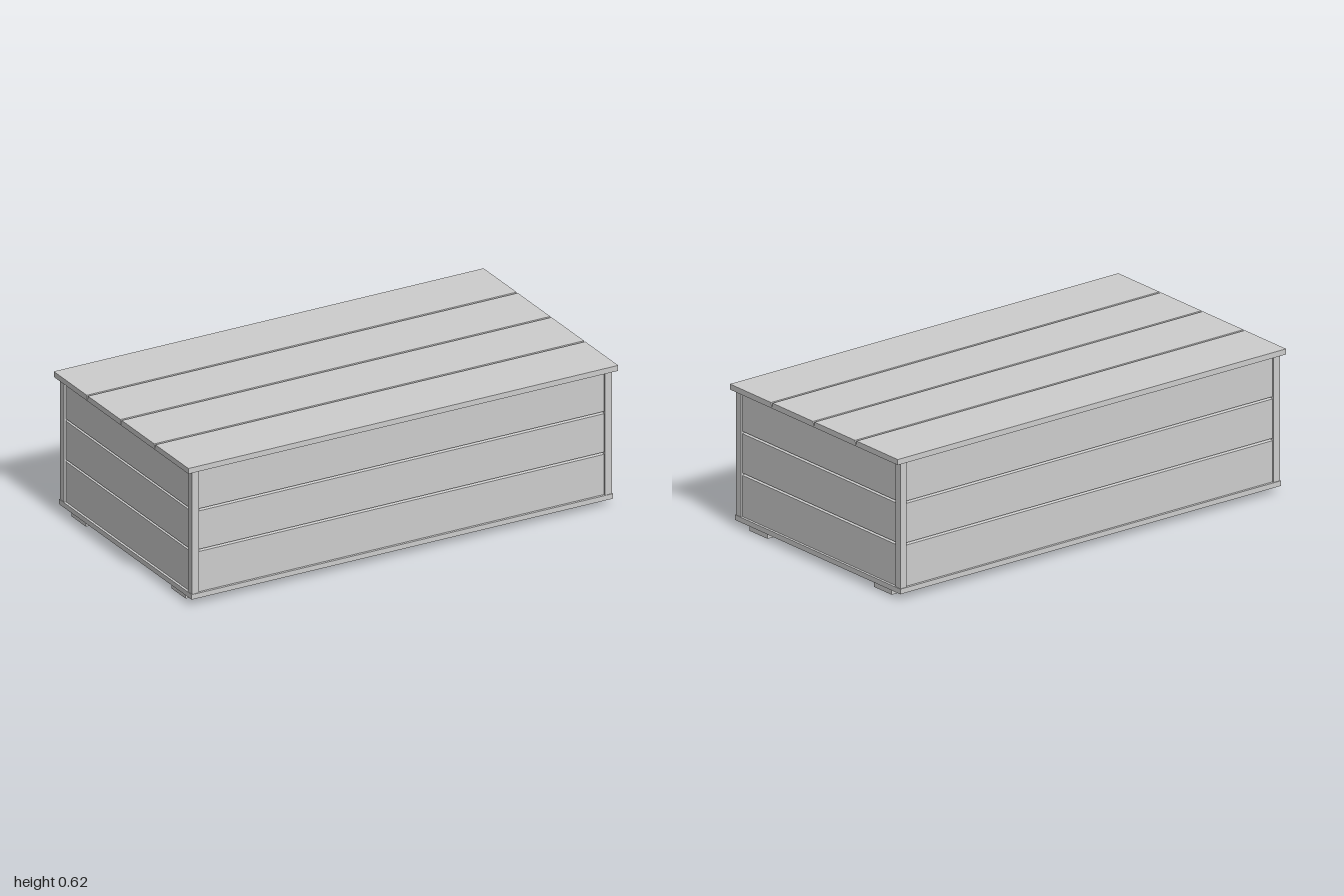
import * as THREE from 'three';

// Board lying flat: length along x, width along z, V-grooves cut into its top
function groovedBoard(length, width, thickness, grooves, halfGap, depth) {
  const s = new THREE.Shape();
  s.moveTo(-width / 2, 0);
  s.lineTo(width / 2, 0);
  s.lineTo(width / 2, thickness);
  for (const g of [...grooves].sort((a, b) => b - a)) {
    s.lineTo(g + halfGap, thickness);
    s.lineTo(g + halfGap * 0.3, thickness - depth);
    s.lineTo(g - halfGap * 0.3, thickness - depth);
    s.lineTo(g - halfGap, thickness);
  }
  s.lineTo(-width / 2, thickness);
  s.closePath();
  const geo = new THREE.ExtrudeGeometry(s, { depth: length, bevelEnabled: false });
  geo.translate(0, 0, -length / 2);
  geo.rotateY(-Math.PI / 2);
  return geo;
}

export function createModel() {
  const group = new THREE.Group();
  const grey = new THREE.MeshStandardMaterial({ color: 0xcccccc });
  grey.name = 'lightGrey';

  const add = (name, geo, x = 0, y = 0, z = 0, ry = 0) => {
    const m = new THREE.Mesh(geo, grey);
    m.name = name;
    m.position.set(x, y, z);
    m.rotation.y = ry;
    group.add(m);
    return m;
  };
  const box = (name, w, h, d, x, y, z) => add(name, new THREE.BoxGeometry(w, h, d), x, y, z);

  const X = 0.977, Z = 0.532;           // outer half sizes of the body
  const bottom = 0.028, lidBase = 0.593;
  const post = 0.032, recess = 0.008, thick = 0.03;

  // Lid of four planks
  add('lid', groovedBoard(2, 1.086, 0.024, [-0.272, 0, 0.272], 0.005, 0.019), 0, lidBase, 0);

  // Base tray, slightly proud of the body
  box('base', 2 * X + 0.006, 0.022, 2 * Z + 0.006, 0, bottom + 0.011, 0);

  // Planked walls set back between the corner posts
  const low = 0.05, h = lidBase - low, mid = low + h / 2;
  const wall = (length) =>
    groovedBoard(length, h, thick, [0.41 - mid, 0.23 - mid], 0.005, 0.014).rotateX(Math.PI / 2);
  const zIn = Z - recess - thick, xIn = X - recess - thick;
  const longLength = 2 * (X - post), shortLength = 2 * (Z - post);
  add('frontWall', wall(longLength), 0, mid, zIn, 0);
  add('backWall', wall(longLength), 0, mid, -zIn, Math.PI);
  add('leftWall', wall(shortLength), xIn, mid, 0, Math.PI / 2);
  add('rightWall', wall(shortLength), -xIn, mid, 0, -Math.PI / 2);

  // Corner posts
  for (const sx of [-1, 1]) {
    for (const sz of [-1, 1]) {
      box('cornerPost', post, h, post, sx * (X - post / 2), mid, sz * (Z - post / 2));
    }
  }

  // Long skids underneath
  for (const sz of [-1, 1]) {
    box('skid', 1.93, bottom, 0.116, 0, bottom / 2, sz * 0.402);
  }
  return group;
}
